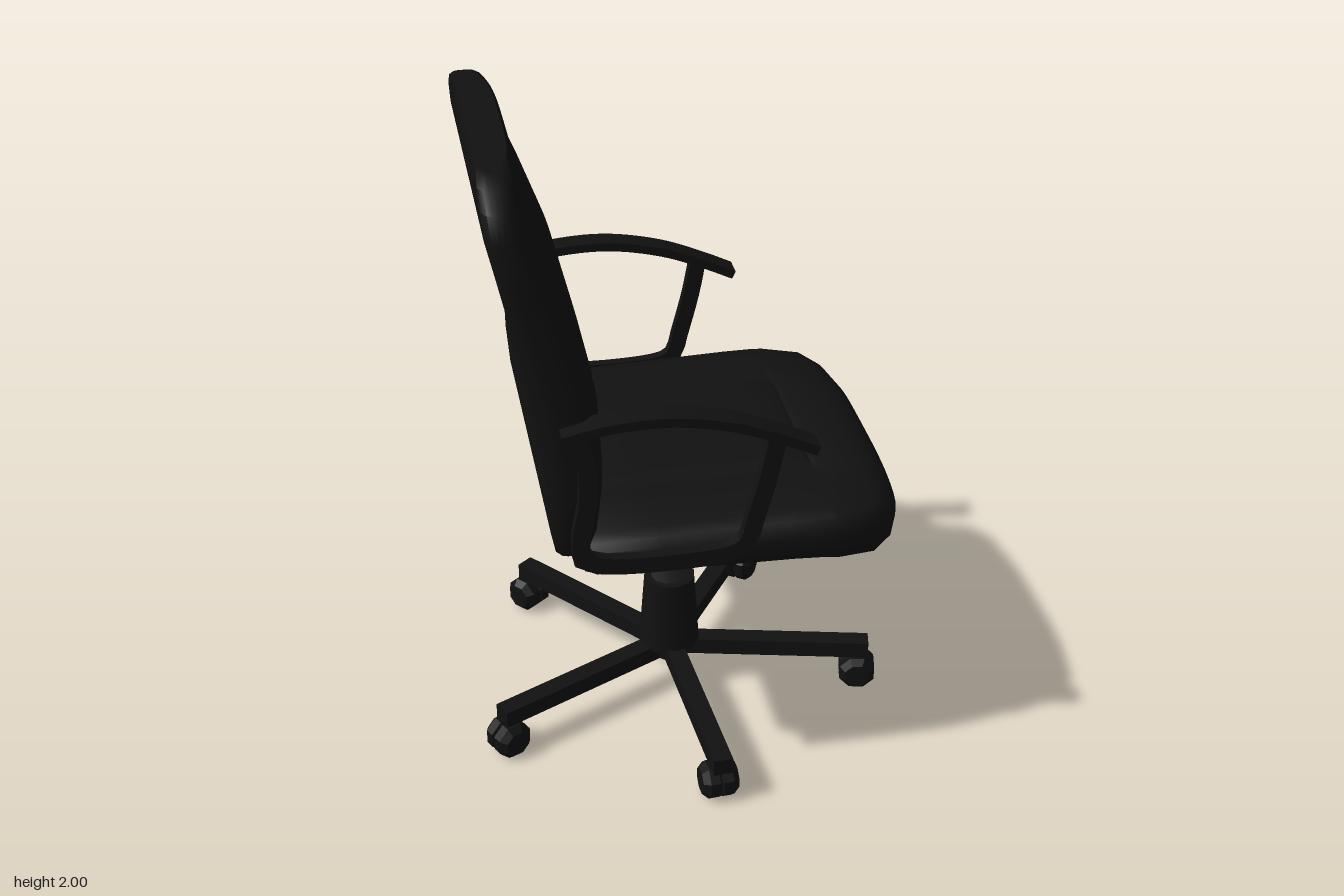
import * as THREE from 'three';
import { mergeVertices, toCreasedNormals } from 'three/addons/utils/BufferGeometryUtils.js';

const black = new THREE.MeshStandardMaterial({ color: 0x111111 });
const faceted = new THREE.MeshStandardMaterial({ color: 0x111111, flatShading: true });
const steel = new THREE.MeshStandardMaterial({ color: 0x2a2a2a });

function part(parent, name, geometry, material = black) {
  const mesh = new THREE.Mesh(geometry, material);
  mesh.name = name;
  parent.add(mesh);
  return mesh;
}

// Half width, rear and front of a cushion at any point along its rows.
function profileAt(rows, along) {
  const i = Math.max(1, rows.findIndex(r => r[0] >= along - 1e-6));
  const t = (along - rows[i - 1][0]) / (rows[i][0] - rows[i - 1][0]);
  return [1, 2, 3].map(k => THREE.MathUtils.lerp(rows[i - 1][k], rows[i][k], t));
}

// Cushion from rows [along, halfWidth, rear, front, seam, rise].
// seam: 1 = inside the stitched panel, 2 = panel edge, 3 = seam over the full width.
// rise: how far the row bends upward toward the sides.
function cushion(rows, crown) {
  const columns = 22, edge = 6 / 11;
  let geo = new THREE.BoxGeometry(2, 2, 2, columns, rows.length - 1, 6);
  const p = geo.attributes.position;
  for (let i = 0; i < p.count; i++) {
    const a = p.getX(i), w = p.getZ(i), side = Math.abs(a);
    const [start, , , , seam = 0, rise = 0] =
      rows[Math.round((p.getY(i) + 1) / 2 * (rows.length - 1))];
    const along = start + rise * Math.max(0, side - edge) / (1 - edge);
    const [half, lo, hi] = profileAt(rows, along);
    let front = hi - crown * a ** 4;
    const onEdge = Math.abs(side - edge) < 0.01;
    if ((seam && onEdge) || (seam === 2 && side < edge) || seam === 3) front -= 0.01;
    p.setXYZ(i, a * (half - 0.03 * w ** 4), along, lo + (front - lo) * (w + 1) / 2);
  }
  geo.deleteAttribute('uv');
  geo.deleteAttribute('normal');
  geo = mergeVertices(geo, 1e-4);
  return toCreasedNormals(geo, 0.8);
}

// Flat strip following a side-view curve of [z, y] points, centred on x.
function strip(points, thickness, width, x) {
  const curve = new THREE.CatmullRomCurve3(
    points.map(([z, y]) => new THREE.Vector3(z, y, 0)), false, 'centripetal');
  const n = 32, upper = [], lower = [];
  for (let i = 0; i <= n; i++) {
    const c = curve.getPointAt(i / n), t = curve.getTangentAt(i / n);
    const dx = -t.y * thickness / 2, dy = t.x * thickness / 2;
    upper.push(new THREE.Vector2(c.x + dx, c.y + dy));
    lower.unshift(new THREE.Vector2(c.x - dx, c.y - dy));
  }
  const geo = new THREE.ExtrudeGeometry(new THREE.Shape([...upper, ...lower]),
    { depth: width, bevelEnabled: false });
  geo.translate(0, 0, -width / 2).rotateY(-Math.PI / 2).translate(x, 0, 0);
  return toCreasedNormals(geo, 0.6);
}

function createUpper() {
  const upper = new THREE.Group();
  upper.name = 'seatAndBack';

  // Backrest, rows from bottom to top
  part(upper, 'backrest', cushion([
    [0.845, 0.47, -0.37, -0.30],
    [0.87, 0.52, -0.395, -0.27],
    [0.95, 0.545, -0.41, -0.25],
    [1.08, 0.55, -0.42, -0.235],
    [1.10, 0.55, -0.42, -0.235, 2],
    [1.12, 0.55, -0.42, -0.235, 1],
    [1.30, 0.55, -0.44, -0.245, 1],
    [1.45, 0.545, -0.467, -0.278, 1],
    [1.53, 0.54, -0.483, -0.298, 1, 0.13],
    [1.55, 0.54, -0.487, -0.303, 3, 0.15],
    [1.57, 0.54, -0.491, -0.308, 0, 0.155],
    [1.75, 0.54, -0.53, -0.375],
    [1.86, 0.535, -0.555, -0.42],
    [1.93, 0.51, -0.56, -0.437],
    [1.975, 0.455, -0.56, -0.442],
    [2.00, 0.385, -0.555, -0.455],
  ], 0.03));

  // Seat, rows from front to rear
  part(upper, 'seat', cushion([
    [-0.658, 0.28, 0.79, 0.86],
    [-0.645, 0.37, 0.765, 0.885],
    [-0.61, 0.45, 0.755, 0.915],
    [-0.55, 0.512, 0.752, 0.935],
    [-0.43, 0.545, 0.766, 0.943],
    [-0.41, 0.546, 0.77, 0.943, 2],
    [-0.39, 0.548, 0.774, 0.943, 1],
    [-0.30, 0.55, 0.78, 0.941, 1],
    [0.10, 0.545, 0.785, 0.93, 1],
    [0.28, 0.535, 0.787, 0.92],
    [0.34, 0.50, 0.80, 0.90],
  ], 0.03).rotateX(-Math.PI / 2));

  // Armrests: a curved pad on a thin U-shaped frame
  for (const [name, s] of [['left', 1], ['right', -1]]) {
    part(upper, name + 'ArmPad', strip([[-0.38, 1.295], [-0.25, 1.32], [-0.08, 1.325],
      [0.10, 1.29], [0.24, 1.235], [0.335, 1.19]], 0.028, 0.075, s * 0.5625));
    part(upper, name + 'ArmFrame', strip([[0.22, 1.23], [0.20, 1.12], [0.165, 0.98], [0.14, 0.895],
      [0.10, 0.87], [-0.28, 0.87], [-0.33, 0.90], [-0.33, 0.98], [-0.312, 1.08],
      [-0.312, 1.19], [-0.34, 1.29]], 0.052, 0.032, s * 0.57));
  }
  upper.rotation.y = 0.953;
  return upper;
}

function createBase() {
  const base = new THREE.Group();
  base.name = 'base';
  base.position.set(0.014, 0, 0.02);

  // Gas column and its sleeve
  part(base, 'column', new THREE.CylinderGeometry(0.06, 0.06, 0.44, 12).translate(0, 0.59, 0), steel);
  part(base, 'sleeve', new THREE.CylinderGeometry(0.082, 0.1, 0.25, 12).translate(0, 0.285, 0));
  part(base, 'hub', new THREE.CylinderGeometry(0.07, 0.07, 0.055, 12).translate(0, 0.1425, 0));

  // Five legs, each with a twin-wheel caster
  const barrel = [[0, -0.056], [0.042, -0.056], [0.061, -0.036], [0.061, -0.006], [0.05, 0],
    [0.061, 0.006], [0.061, 0.036], [0.042, 0.056], [0, 0.056]].map(q => new THREE.Vector2(...q));
  for (const [degrees, reach] of [[48.2, 0.617], [121.3, 0.595], [188.9, 0.63], [265.4, 0.632], [339, 0.63]]) {
    const leg = new THREE.Group();
    leg.name = 'leg';
    leg.rotation.y = -degrees * Math.PI / 180;
    base.add(leg);
    part(leg, 'legBar', new THREE.BoxGeometry(0.65, 0.055, 0.06).translate(0.325, 0.1425, 0));
    part(leg, 'casterPin', new THREE.CylinderGeometry(0.025, 0.025, 0.06, 8).translate(reach, 0.1, 0));
    part(leg, 'caster', new THREE.LatheGeometry(barrel, 8, Math.PI / 8).rotateX(Math.PI / 2)
      .translate(reach, 0.0565, 0), faceted);
  }
  return base;
}

export function createModel() {
  const chair = new THREE.Group();
  chair.name = 'officeChair';
  chair.add(createUpper(), createBase());
  return chair;
}
